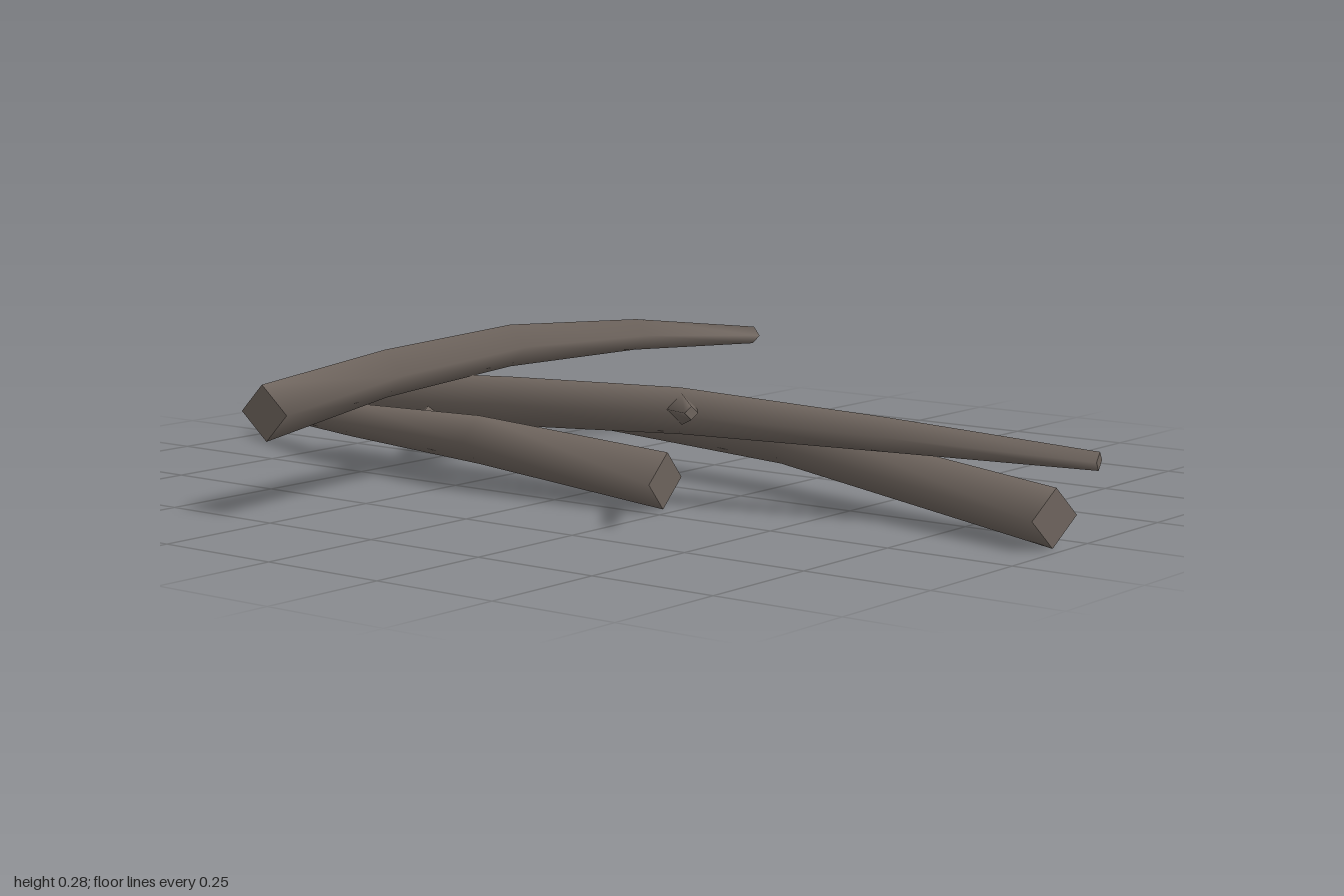
import * as THREE from 'three';

// Tapered four-sided branch through rings of [x, y, z, radius], flat caps at both ends
function branchGeometry(rings) {
  const sides = 4;
  const centres = rings.map(([x, y, z]) => new THREE.Vector3(x, y, z));
  const up = new THREE.Vector3(0, 1, 0);
  const positions = [];
  const index = [];

  const loops = rings.map(([, , , radius], i) => {
    const last = rings.length - 1;
    const tangent = centres[Math.min(i + 1, last)].clone()
      .sub(centres[Math.max(i - 1, 0)]).normalize();
    const side = new THREE.Vector3().crossVectors(tangent, up).normalize();
    const lift = new THREE.Vector3().crossVectors(side, tangent);
    return Array.from({ length: sides }, (_, j) => {
      const a = (j / sides) * Math.PI * 2;
      return centres[i].clone()
        .addScaledVector(side, Math.cos(a) * radius)
        .addScaledVector(lift, Math.sin(a) * radius);
    });
  });

  // smooth sides
  loops.forEach((loop) => loop.forEach((p) => positions.push(p.x, p.y, p.z)));
  for (let i = 0; i < loops.length - 1; i++) {
    for (let j = 0; j < sides; j++) {
      const a = i * sides + j;
      const b = i * sides + (j + 1) % sides;
      index.push(a, a + sides, b, b, a + sides, b + sides);
    }
  }

  // caps with their own vertices, so the cut edges stay sharp
  [loops[0], loops[loops.length - 1]].forEach((loop, end) => {
    const start = positions.length / 3;
    loop.forEach((p) => positions.push(p.x, p.y, p.z));
    for (let j = 1; j < sides - 1; j++) {
      if (end === 0) index.push(start, start + j, start + j + 1);
      else index.push(start, start + j + 1, start + j);
    }
  });

  const geometry = new THREE.BufferGeometry();
  geometry.setAttribute('position', new THREE.Float32BufferAttribute(positions, 3));
  geometry.setIndex(index);
  geometry.computeVertexNormals();
  return geometry;
}

export function createModel() {
  const group = new THREE.Group();
  group.name = 'branchPile';
  const bark = new THREE.MeshStandardMaterial({ color: 0x70665f });
  bark.name = 'greyBrownBark';

  const branches = {
    // lies across the top of the pile
    crossBranch: [
      [-0.73, 0.197, -0.28, 0.053], [-0.38, 0.229, -0.308, 0.046], [0, 0.243, -0.325, 0.042],
      [0.37, 0.231, -0.3, 0.032], [0.73, 0.198, -0.257, 0.018],
    ],
    // long branch on the ground
    longBranch: [
      [-0.08, 0.056, 0.98, 0.054], [0.105, 0.098, 0.27, 0.046],
      [0.17, 0.105, -0.3, 0.038], [0.228, 0.088, -0.86, 0.018],
    ],
    // short bent branch on the ground
    bentBranch: [
      [-0.207, 0.057, 0.23, 0.054], [-0.238, 0.095, -0.2, 0.047],
      [-0.175, 0.088, -0.6, 0.034], [-0.037, 0.061, -0.99, 0.017],
    ],
    // middle branch resting on the lower two
    middleBranch: [
      [-0.11, 0.125, -0.63, 0.054], [-0.125, 0.156, -0.2, 0.048], [-0.123, 0.175, 0.2, 0.044],
      [-0.042, 0.16, 0.6, 0.032], [0.052, 0.139, 0.99, 0.017],
    ],
    // side twigs
    middleTwig: [[-0.12, 0.178, 0.2, 0.03], [-0.39, 0.224, 0.43, 0.012]],
    bentTwig: [[-0.19, 0.1, -0.385, 0.028], [0.088, 0.15, -0.54, 0.012]],
  };

  for (const [name, rings] of Object.entries(branches)) {
    const mesh = new THREE.Mesh(branchGeometry(rings), bark);
    mesh.name = name;
    group.add(mesh);
  }
  return group;
}
